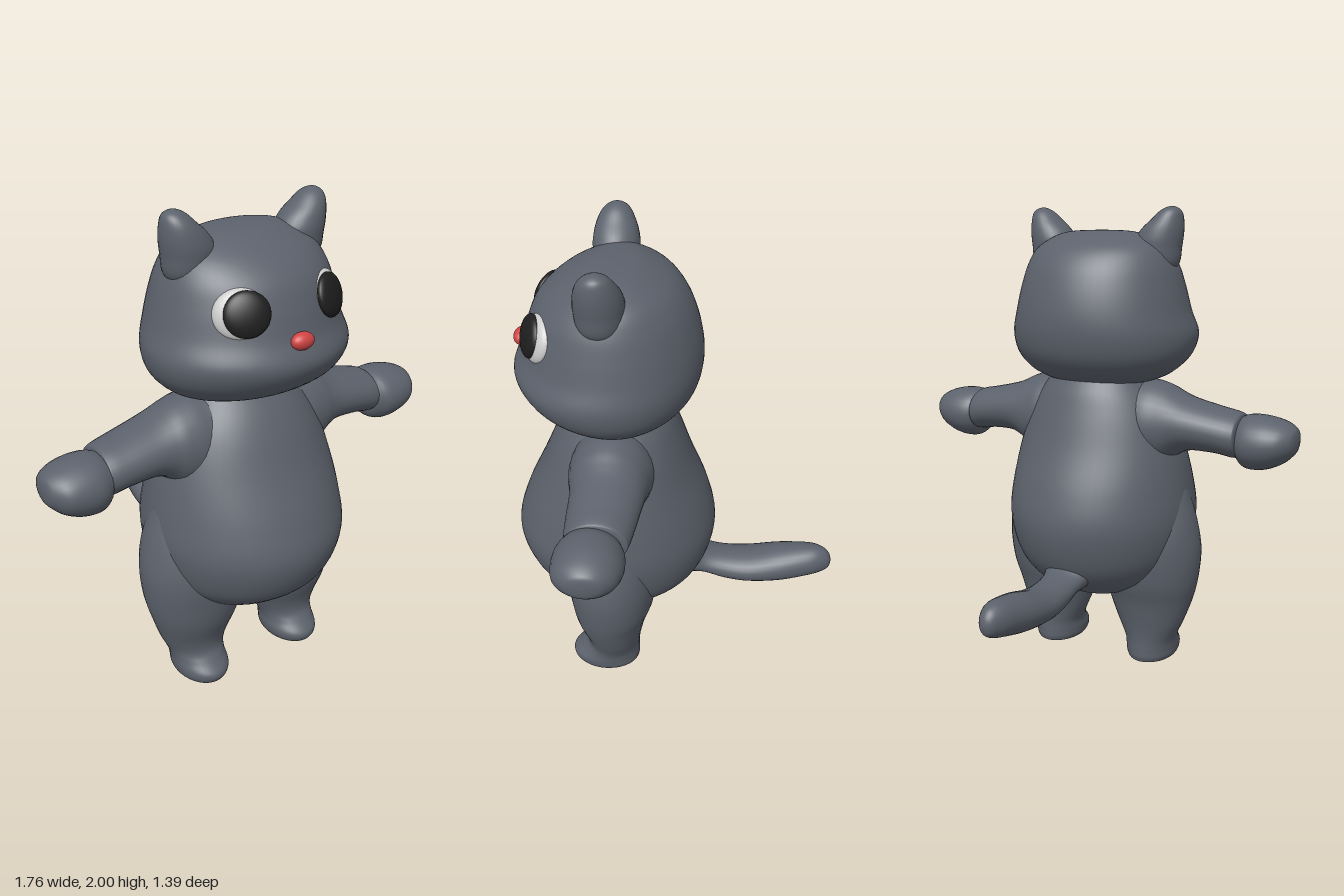
import * as THREE from 'three';

const mat = (color) => new THREE.MeshStandardMaterial({ color });
const fur = mat(0x5c626c);
const white = mat(0xcccccc);
const black = mat(0x1e1e1e);
const red = mat(0xcf4444);

const catmull = (p0, p1, p2, p3, t) =>
  p1 + 0.5 * t * (p2 - p0 + t * (2 * p0 - 5 * p1 + 4 * p2 - p3 + t * (3 * (p1 - p2) + p3 - p0)));

// Smooth skin through oval rings [t, aMin, aMax, bMin, bMax] with t rising along an axis.
// Axis 'x': a = y, b = z.  Axis 'y': a = z, b = x.  Axis 'z': a = x, b = y.
function loft(axis, rings, sides = 40, steps = 6) {
  const k = 'xyz'.indexOf(axis), pos = [], index = [];
  const at = (i) => rings[Math.max(0, Math.min(rings.length - 1, i))];
  const rows = (rings.length - 1) * steps;
  for (let r = 0; r <= rows; r++) {
    const i = Math.min(Math.floor(r / steps), rings.length - 2), f = r / steps - i;
    const [t, a0, a1, b0, b1] = rings[0].map((_, c) =>
      catmull(at(i - 1)[c], at(i)[c], at(i + 1)[c], at(i + 2)[c], f));
    for (let j = 0; j < sides; j++) {
      const w = (j / sides) * Math.PI * 2, p = [];
      p[k] = t;
      p[(k + 1) % 3] = (a0 + a1) / 2 + ((a1 - a0) / 2) * Math.cos(w);
      p[(k + 2) % 3] = (b0 + b1) / 2 + ((b1 - b0) / 2) * Math.sin(w);
      pos.push(...p);
      if (r < rows) {
        const n = (j + 1) % sides, u = r * sides, v = u + sides;
        index.push(u + j, u + n, v + n, u + j, v + n, v + j);
      }
    }
  }
  const g = new THREE.BufferGeometry();
  g.setAttribute('position', new THREE.Float32BufferAttribute(pos, 3));
  g.setIndex(index);
  g.computeVertexNormals();
  return g;
}

// Copy reflected across x = 0, with the face order turned round
function mirrored(geometry) {
  const g = geometry.clone().scale(-1, 1, 1), ix = g.index;
  for (let i = 0; i < ix.count; i += 3) {
    const b = ix.getX(i + 1);
    ix.setX(i + 1, ix.getX(i + 2));
    ix.setX(i + 2, b);
  }
  g.computeVertexNormals();
  return g;
}

// Flattened ball, tilted to lie on the face
function ball(rx, ry, rz, x, y, z, pitch = 0, yaw = 0) {
  const g = new THREE.SphereGeometry(1, 32, 20).scale(rx, ry, rz);
  return g.rotateX(pitch).rotateY(yaw).translate(x, y, z);
}

export function createModel() {
  const model = new THREE.Group();
  model.name = 'catFigure';
  const add = (name, geometry, material = fur) => {
    const m = new THREE.Mesh(geometry, material);
    m.name = name;
    model.add(m);
  };
  const pair = (name, geometry, material) => {
    add('left' + name, geometry, material);
    add('right' + name, mirrored(geometry), material);
  };

  // Pear-shaped body
  add('body', loft('y', [
    [0.30, 0.25, 0.25, 0, 0],
    [0.32, 0.10, 0.38, -0.14, 0.14],
    [0.36, 0.02, 0.46, -0.23, 0.23],
    [0.42, -0.07, 0.55, -0.31, 0.31],
    [0.52, -0.135, 0.645, -0.38, 0.38],
    [0.67, -0.168, 0.693, -0.415, 0.415],
    [0.82, -0.14, 0.655, -0.405, 0.405],
    [1.00, -0.07, 0.57, -0.37, 0.37],
    [1.15, -0.02, 0.50, -0.315, 0.315],
    [1.25, 0.02, 0.435, -0.25, 0.25],
    [1.32, 0.08, 0.36, -0.18, 0.18],
    [1.36, 0.22, 0.22, 0, 0],
  ], 56));

  // Head with full cheeks and a forward muzzle
  add('head', loft('y', [
    [1.265, 0.22, 0.22, 0, 0],
    [1.27, 0.08, 0.36, -0.19, 0.19],
    [1.295, 0.015, 0.45, -0.285, 0.285],
    [1.34, -0.045, 0.535, -0.35, 0.35],
    [1.40, -0.085, 0.605, -0.395, 0.395],
    [1.48, -0.105, 0.64, -0.41, 0.41],
    [1.57, -0.105, 0.603, -0.385, 0.385],
    [1.67, -0.085, 0.572, -0.36, 0.36],
    [1.76, -0.05, 0.53, -0.332, 0.332],
    [1.83, 0.005, 0.455, -0.29, 0.29],
    [1.88, 0.09, 0.36, -0.21, 0.21],
    [1.90, 0.15, 0.30, -0.13, 0.13],
    [1.905, 0.23, 0.23, 0, 0],
  ], 56));

  // Rounded ears
  pair('Ear', loft('y', [
    [1.70, 0.25, 0.25, 0.26, 0.26],
    [1.76, 0.18, 0.33, 0.18, 0.335],
    [1.84, 0.163, 0.35, 0.145, 0.35],
    [1.90, 0.17, 0.345, 0.172, 0.357],
    [1.95, 0.19, 0.328, 0.225, 0.355],
    [1.98, 0.21, 0.305, 0.258, 0.347],
    [1.995, 0.235, 0.28, 0.285, 0.328],
    [2.00, 0.258, 0.258, 0.307, 0.307],
  ], 28));

  // Eyes and nose
  pair('EyeWhite', ball(0.1, 0.092, 0.04, 0.193, 1.67, 0.502, -0.3, 0.55), white);
  pair('Pupil', ball(0.085, 0.083, 0.03, 0.185, 1.676, 0.53, -0.3, 0.45), black);
  add('nose', ball(0.048, 0.033, 0.032, 0, 1.565, 0.61), red);

  // Arms flaring into the shoulders
  pair('Arm', loft('x', [
    [0.08, 1.10, 1.10, 0.24, 0.24],
    [0.14, 0.98, 1.27, 0.10, 0.38],
    [0.24, 0.91, 1.285, 0.07, 0.41],
    [0.32, 0.93, 1.268, 0.08, 0.405],
    [0.38, 0.975, 1.24, 0.088, 0.39],
    [0.44, 0.998, 1.218, 0.095, 0.382],
    [0.55, 0.997, 1.192, 0.11, 0.378],
    [0.63, 0.985, 1.175, 0.125, 0.372],
    [0.65, 1.00, 1.155, 0.145, 0.355],
    [0.655, 1.08, 1.08, 0.25, 0.25],
  ], 32));

  // Mitten hands
  pair('Hand', loft('x', [
    [0.635, 1.07, 1.07, 0.26, 0.26],
    [0.64, 0.99, 1.145, 0.17, 0.36],
    [0.66, 0.952, 1.163, 0.145, 0.385],
    [0.70, 0.940, 1.170, 0.132, 0.40],
    [0.76, 0.948, 1.167, 0.132, 0.40],
    [0.82, 0.975, 1.152, 0.15, 0.385],
    [0.86, 1.010, 1.132, 0.185, 0.345],
    [0.875, 1.035, 1.112, 0.22, 0.31],
    [0.88, 1.075, 1.075, 0.265, 0.265],
  ], 32));

  // Legs with small flat feet
  pair('Leg', loft('y', [
    [0.005, 0.30, 0.30, 0.24, 0.24],
    [0.007, 0.18, 0.42, 0.155, 0.325],
    [0.025, 0.158, 0.452, 0.132, 0.348],
    [0.06, 0.155, 0.458, 0.125, 0.354],
    [0.10, 0.155, 0.42, 0.125, 0.357],
    [0.14, 0.152, 0.392, 0.112, 0.37],
    [0.20, 0.142, 0.395, 0.085, 0.397],
    [0.30, 0.118, 0.428, 0.045, 0.432],
    [0.40, 0.085, 0.445, 0.02, 0.457],
    [0.53, 0.07, 0.45, 0.03, 0.468],
    [0.65, 0.085, 0.42, 0.10, 0.453],
    [0.77, 0.13, 0.37, 0.19, 0.42],
    [0.88, 0.19, 0.31, 0.27, 0.38],
    [0.94, 0.25, 0.25, 0.33, 0.33],
  ], 36));

  // Tail curving up at the tip
  add('tail', loft('z', [
    [-0.70, 0, 0, 0.45, 0.45],
    [-0.69, -0.026, 0.026, 0.415, 0.485],
    [-0.66, -0.048, 0.048, 0.393, 0.515],
    [-0.60, -0.072, 0.072, 0.375, 0.527],
    [-0.47, -0.095, 0.095, 0.348, 0.51],
    [-0.33, -0.10, 0.10, 0.34, 0.477],
    [-0.22, -0.092, 0.092, 0.35, 0.475],
    [-0.13, -0.09, 0.09, 0.378, 0.495],
    [-0.06, -0.11, 0.11, 0.385, 0.55],
    [0.02, -0.12, 0.12, 0.39, 0.58],
    [0.08, 0, 0, 0.47, 0.47],
  ], 28));

  return model;
}
